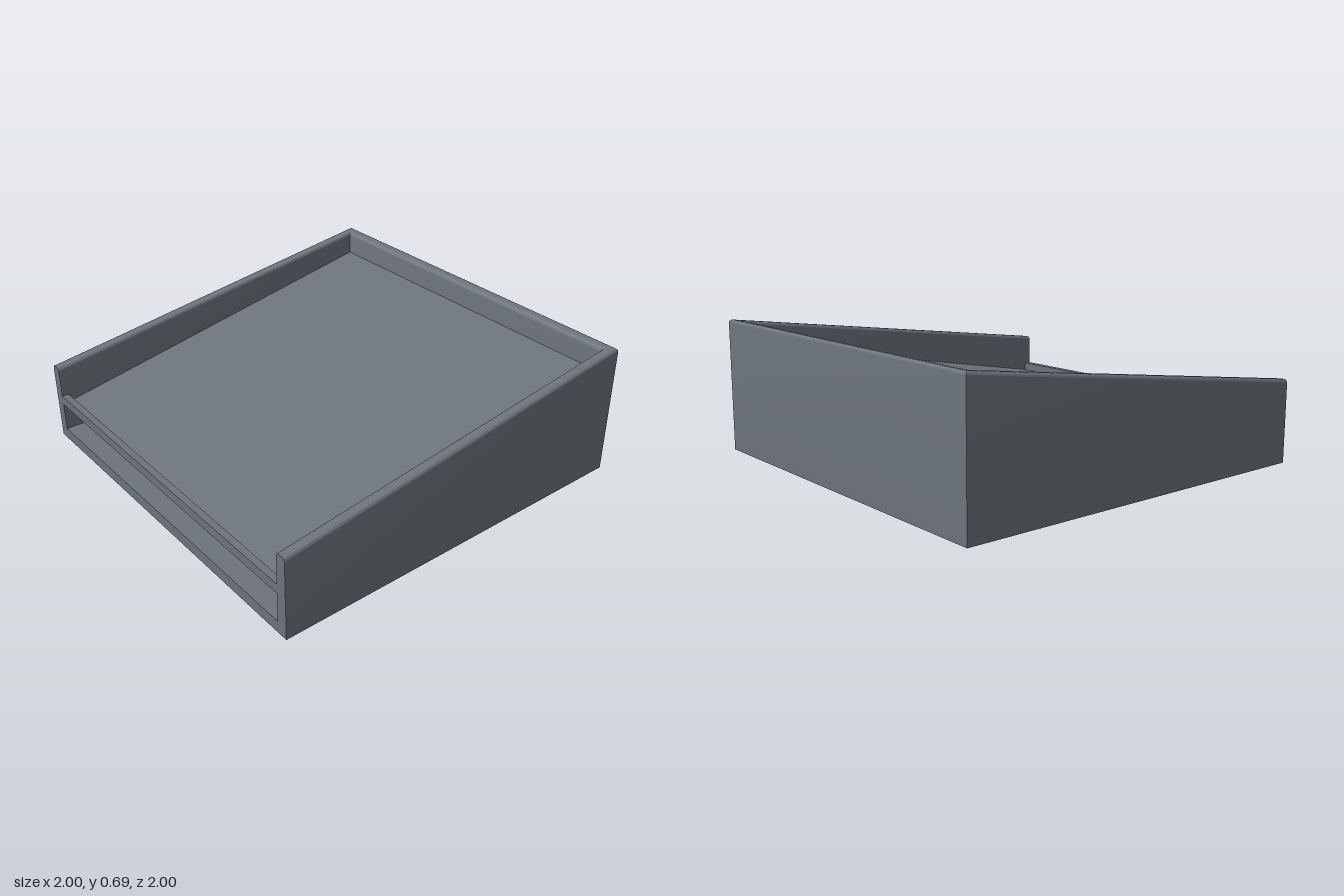
import * as THREE from 'three';
import { toCreasedNormals } from 'three/addons/utils/BufferGeometryUtils.js';

const T = 0.057;          // wall thickness
const IN = 1 - T;         // inner half width
const FRONT_H = 0.424;    // wall height at the front
const SLOPE = 0.133;      // rise of the rim towards the back
const R = 0.018;          // rounding of the rim

// Wall cross-section as [inset from outside, height]
function wallProfile() {
  const pts = [[0, 0], [T, 0]];
  const arc = (cx, from) => {
    for (let i = 0; i <= 5; i++) {
      const a = from + (i / 5) * Math.PI / 2;
      pts.push([cx + R * Math.cos(a), FRONT_H - R + R * Math.sin(a)]);
    }
  };
  arc(T - R, 0);
  arc(R, Math.PI / 2);
  return pts;
}

// Sweep the wall around left side, back and right side with mitred corners
function wallGeometry() {
  const profile = wallProfile();
  const n = profile.length;
  const pos = [], idx = [];
  const stations = [
    d => [1 - d, 1],
    d => [1 - d, d - 1],
    d => [d - 1, d - 1],
    d => [d - 1, 1],
  ];
  for (const at of stations) {
    for (const [d, h] of profile) {
      const [x, z] = at(d);
      pos.push(x, h > 0 ? h + SLOPE * (1 - z) : 0, z);
    }
  }
  for (let s = 0; s < 3; s++) {
    for (let i = 0; i < n; i++) {
      const j = (i + 1) % n;
      const a = s * n + i, b = s * n + j;
      idx.push(a, b, a + n, b, b + n, a + n);
    }
  }
  // Front ends of the two side walls
  for (let i = 1; i < n - 1; i++) {
    idx.push(0, i + 1, i, 3 * n, 3 * n + i, 3 * n + i + 1);
  }
  const g = new THREE.BufferGeometry();
  g.setAttribute('position', new THREE.Float32BufferAttribute(pos, 3));
  g.setIndex(idx);
  return toCreasedNormals(g, 0.6);
}

// Extrude a (z, y) outline across the inner width
function acrossGeometry(points) {
  const shape = new THREE.Shape(points.map(p => new THREE.Vector2(...p)));
  const g = new THREE.ExtrudeGeometry(shape, { depth: 2 * IN, bevelEnabled: false });
  g.rotateY(-Math.PI / 2);
  g.translate(IN, 0, 0);
  return g;
}

export function createModel() {
  const group = new THREE.Group();
  const grey = new THREE.MeshStandardMaterial({ color: 0x6c737b });
  grey.name = 'slateGrey';

  const add = (name, geometry) => {
    const mesh = new THREE.Mesh(geometry, grey);
    mesh.name = name;
    group.add(mesh);
  };

  add('outerWall', wallGeometry());

  // Base below the front slot
  add('base', acrossGeometry([[1, 0], [1, 0.06], [-IN, 0.06], [-IN, 0]]));

  // Sloping tray floor with a raised front lip
  add('trayFloor', acrossGeometry([
    [1, 0.21], [1, 0.26], [0.965, 0.26], [0.965, 0.216], [-IN, 0.558], [-IN, 0.21],
  ]));

  return group;
}
